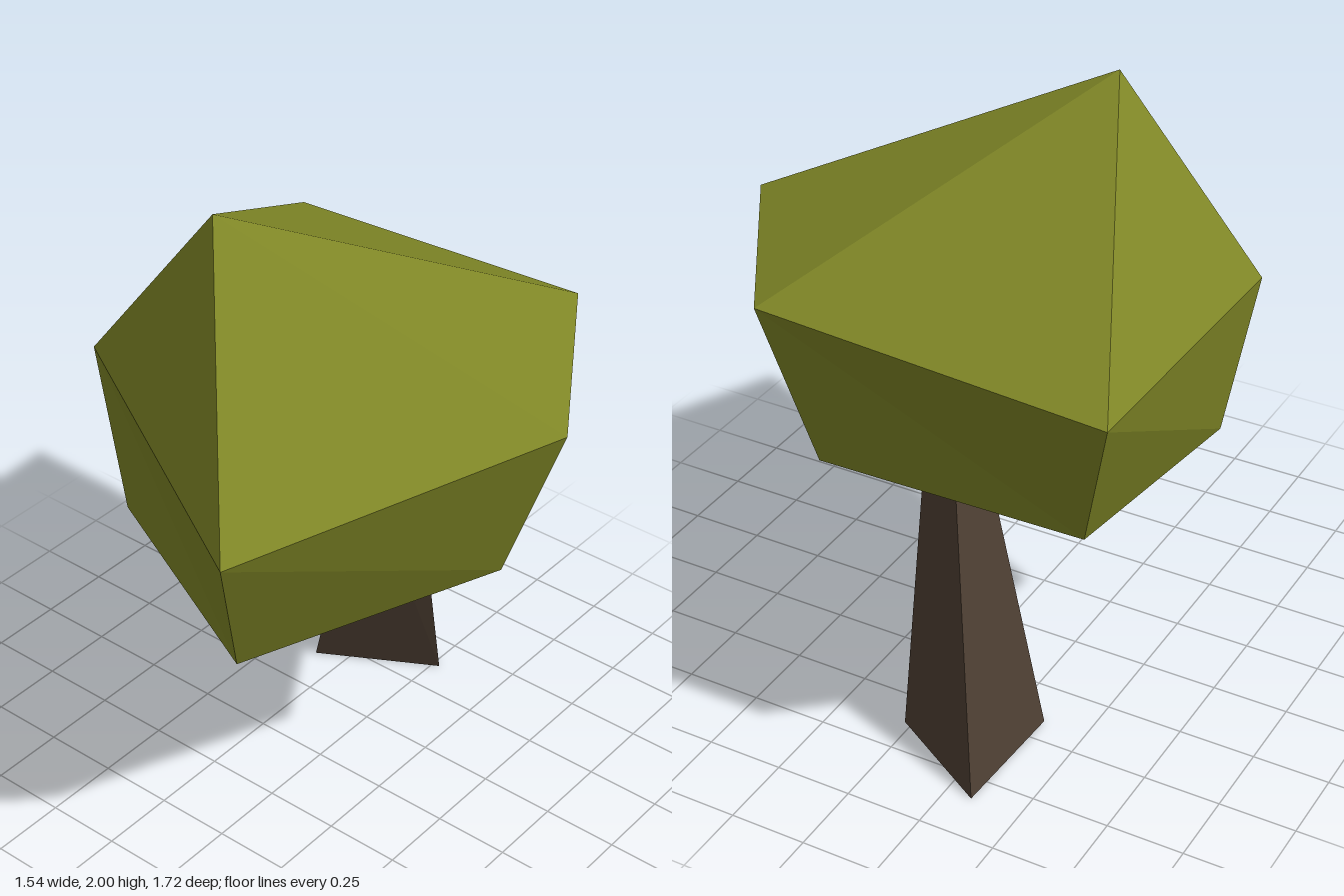
import * as THREE from 'three';

// Joins two rings (clockwise seen from above) with flat walls; optional apex and floor.
function ringSolid(lower, upper, apex, floor) {
  const pos = [];
  const tri = (...corners) => corners.forEach((c) => pos.push(...c));
  const n = lower.length;
  for (let i = 0; i < n; i++) {
    const j = (i + 1) % n;
    tri(lower[i], upper[i], upper[j]);
    tri(lower[i], upper[j], lower[j]);
    if (apex) tri(apex, upper[j], upper[i]);
    if (floor && i > 0 && j > 0) tri(lower[0], lower[i], lower[j]);
  }
  const geometry = new THREE.BufferGeometry();
  geometry.setAttribute('position', new THREE.Float32BufferAttribute(pos, 3));
  geometry.computeVertexNormals();
  return geometry;
}

export function createModel() {
  const tree = new THREE.Group();
  tree.name = 'tree';

  const leafGreen = new THREE.MeshStandardMaterial({ color: 0x7f8626, flatShading: true });
  leafGreen.name = 'leaf green';
  const barkBrown = new THREE.MeshStandardMaterial({ color: 0x4d3e32, flatShading: true, side: THREE.DoubleSide });
  barkBrown.name = 'bark brown';

  // Five-sided crown, flaring upwards to a rim and closing in an off-centre peak
  const crownBase = [
    [-0.58, 0.885, -0.6], [0.265, 0.935, -0.68], [0.56, 0.925, -0.19],
    [0.18, 0.86, 0.61], [-0.64, 0.835, 0.2],
  ];
  const crownRim = [
    [-0.775, 1.455, -0.86], [0.345, 1.52, -0.855], [0.77, 1.505, -0.185],
    [0.35, 1.425, 0.86], [-0.75, 1.4, 0.2],
  ];
  const crown = new THREE.Mesh(ringSolid(crownBase, crownRim, [-0.295, 2, 0.135], true), leafGreen);
  crown.name = 'crown';

  // Three-sided leaning trunk, open at both ends
  const trunkFoot = [[-0.355, 0, -0.41], [-0.336, 0, -0.84], [0.025, 0, -0.625]];
  const trunkTop = [[-0.115, 0.92, -0.36], [-0.115, 0.92, -0.535], [0.035, 0.92, -0.455]];
  const trunk = new THREE.Mesh(ringSolid(trunkFoot, trunkTop, null, false), barkBrown);
  trunk.name = 'trunk';

  tree.add(crown, trunk);
  return tree;
}
